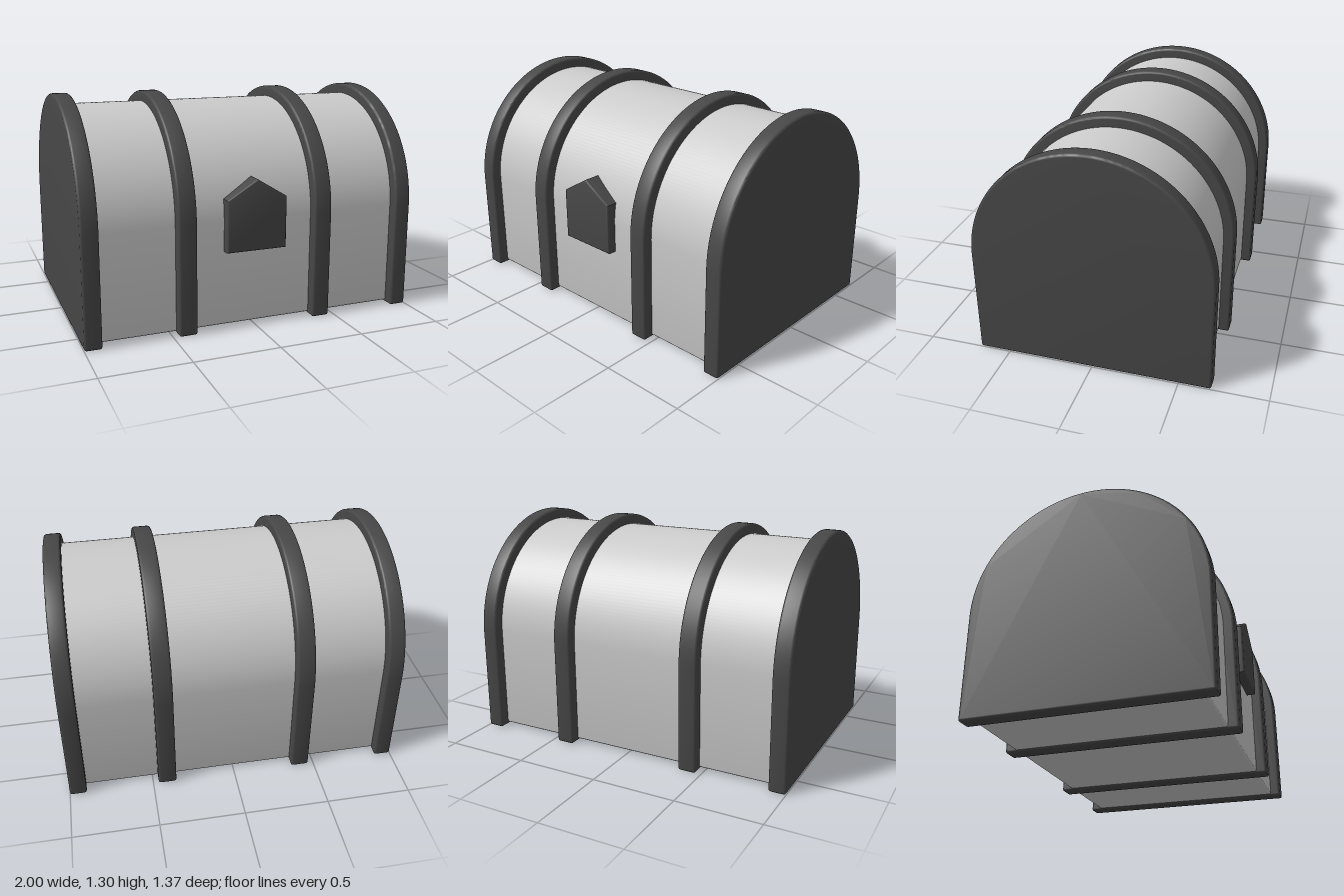
import * as THREE from 'three';
import { toCreasedNormals } from 'three/addons/utils/BufferGeometryUtils.js';

const SPRING = 0.62; // height where the straight walls turn into the arched lid
const BEVEL = 0.014;

const shellMaterial = new THREE.MeshStandardMaterial({ color: 0xcccccc });
const ironMaterial = new THREE.MeshStandardMaterial({ color: 0x474747 });

// Chest cross-section: straight walls under a half circle, softened bottom corners
function archShape(radius, bottom) {
  const c = 0.015;
  const s = new THREE.Shape();
  s.moveTo(-radius + c, bottom);
  s.lineTo(radius - c, bottom);
  s.quadraticCurveTo(radius, bottom, radius, bottom + c);
  s.lineTo(radius, SPRING);
  s.absarc(0, SPRING, radius, 0, Math.PI, false);
  s.lineTo(-radius, bottom + c);
  s.quadraticCurveTo(-radius, bottom, -radius + c, bottom);
  return s;
}

// Extrude with a bevel kept inside the outline, centred on its depth
function slab(shape, thickness, bevel) {
  const geometry = new THREE.ExtrudeGeometry(shape, {
    depth: thickness - 2 * bevel,
    curveSegments: 48,
    bevelEnabled: bevel > 0,
    bevelThickness: bevel,
    bevelSize: bevel,
    bevelOffset: -bevel,
    bevelSegments: 3,
  });
  geometry.translate(0, 0, -(thickness - 2 * bevel) / 2);
  return toCreasedNormals(geometry, 0.7);
}

function addPart(group, name, geometry, material) {
  const mesh = new THREE.Mesh(geometry, material);
  mesh.name = name;
  group.add(mesh);
  return mesh;
}

export function createModel() {
  const chest = new THREE.Group();
  chest.name = 'chest';

  // Body and arched lid, running along x
  const body = slab(archShape(0.622, 0.012), 1.9, 0).rotateY(-Math.PI / 2);
  addPart(chest, 'body', body, shellMaterial);

  // Solid end caps and the two inner bands, mirrored left and right
  for (const side of [1, -1]) {
    const label = side > 0 ? 'left' : 'right';
    for (const [name, x, width] of [['EndCap', 0.95, 0.1], ['Band', 0.413, 0.108]]) {
      const geometry = slab(archShape(0.683, 0), width, BEVEL).rotateY(-Math.PI / 2);
      addPart(chest, label + name, geometry, ironMaterial).position.x = side * x;
    }
  }

  // Pointed lock plate on the front
  const plate = new THREE.Shape([
    [-0.18, 0.45], [0.18, 0.45], [0.18, 0.75], [0, 0.86], [-0.18, 0.75],
  ].map(([x, y]) => new THREE.Vector2(x, y)));
  addPart(chest, 'lockPlate', slab(plate, 0.17, 0.01), ironMaterial).position.z = 0.591;

  return chest;
}
